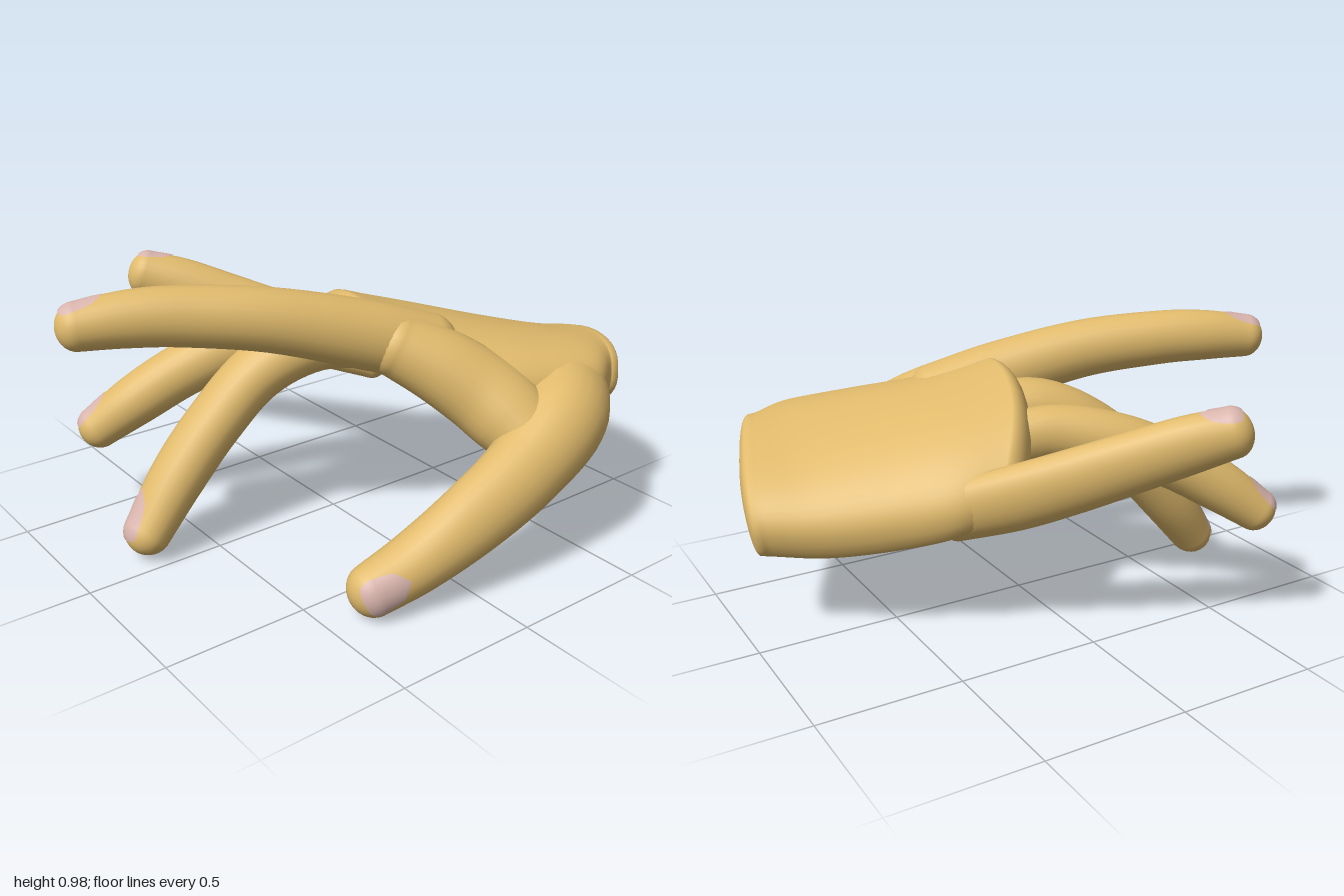
import * as THREE from 'three';
import { ParametricGeometry } from 'three/addons/geometries/ParametricGeometry.js';

const V = (p) => new THREE.Vector3(...p);
const curve = (points) => new THREE.CatmullRomCurve3(points.map(V), false, 'catmullrom', 0.5);
const clamp01 = (x) => Math.min(1, Math.max(0, x));

const skin = new THREE.MeshStandardMaterial({ color: 0xe0ba6c, side: THREE.DoubleSide });
const nailMaterial = new THREE.MeshStandardMaterial({ color: 0xd8b4ac, side: THREE.DoubleSide });

// Each finger: path from inside the palm to the tip, [side, nail-direction] radii,
// and the direction the nail faces.
const FINGERS = {
  indexFinger: {
    path: [[0.31, 0.71, -0.14], [0.235, 0.78, 0.07], [0.12, 0.86, 0.36], [0.0, 0.895, 0.62], [-0.07, 0.9, 0.78], [-0.125, 0.89, 0.93]],
    radii: [[0.12, 0.12, 0], [0.11, 0.118, 0], [0.1, 0.107, 0], [0.09, 0.1, 0], [0.085, 0.093, 0], [0.074, 0.078, 0]],
    up: [-0.1, 1, 0.05],
  },
  middleFinger: {
    path: [[0.09, 0.69, -0.1], [0.01, 0.7, 0.11], [-0.06, 0.61, 0.3], [-0.09, 0.45, 0.47], [-0.1, 0.28, 0.62], [-0.09, 0.115, 0.75]],
    radii: [[0.11, 0.11, 0], [0.11, 0.107, 0], [0.108, 0.1, 0], [0.107, 0.098, 0], [0.105, 0.095, 0], [0.088, 0.08, 0]],
    up: [-0.2, 0.6, 0.7],
  },
  ringFinger: {
    path: [[-0.09, 0.63, -0.16], [-0.17, 0.67, 0.05], [-0.27, 0.635, 0.25], [-0.35, 0.555, 0.43], [-0.42, 0.455, 0.59], [-0.485, 0.355, 0.72]],
    radii: [[0.09, 0.1, 0], [0.09, 0.1, 0], [0.093, 0.1, 0], [0.092, 0.098, 0], [0.09, 0.093, 0], [0.075, 0.077, 0]],
    up: [-0.4, 0.6, 0.6],
  },
  littleFinger: {
    path: [[-0.22, 0.48, -0.36], [-0.35, 0.54, -0.2], [-0.47, 0.61, -0.05], [-0.58, 0.68, 0.09], [-0.69, 0.75, 0.23], [-0.77, 0.795, 0.34]],
    radii: [[0.075, 0.11, 0], [0.077, 0.118, 0], [0.078, 0.115, 0], [0.077, 0.108, 0], [0.077, 0.1, 0], [0.072, 0.085, 0]],
    up: [-0.2, 1, -0.1],
  },
  thumb: {
    path: [[0.5, 0.53, -0.62], [0.66, 0.49, -0.44], [0.72, 0.385, -0.22], [0.72, 0.28, 0.0], [0.68, 0.172, 0.2], [0.65, 0.11, 0.36]],
    radii: [[0.17, 0.16, 0], [0.165, 0.16, 0], [0.14, 0.12, 0], [0.125, 0.1, 0], [0.105, 0.1, 0], [0.09, 0.085, 0]],
    up: [0.9, 0.2, 0.4],
  },
};

// Fold of flesh between the index knuckle and the thumb
const WEB = {
  path: [[0.3, 0.74, -0.02], [0.4, 0.67, -0.13], [0.49, 0.59, -0.22], [0.58, 0.52, -0.27], [0.67, 0.45, -0.3]],
  radii: [[0.11, 0.11, 0], [0.13, 0.12, 0], [0.14, 0.13, 0], [0.14, 0.13, 0], [0.12, 0.12, 0]],
  up: [0.4, 0.6, 0.6],
};

// Point on a finger: v 0..1 runs along the path, -1..0 and 1..2 over the rounded ends.
function fingerSurface({ path, radii, up }, lift = 0) {
  const spine = curve(path), size = curve(radii), upDir = V(up);
  return (angle, v, target) => {
    const k = clamp01(v);
    const phi = (v - k) * 1.57;
    const t = spine.getTangent(k);
    const n = upDir.clone().addScaledVector(t, -upDir.dot(t)).normalize();
    const s = n.clone().cross(t);
    const r = size.getPoint(k);
    const shrink = Math.cos(phi);
    target.copy(spine.getPoint(k))
      .addScaledVector(t, (r.x * 0.9 + lift) * Math.sin(phi))
      .addScaledVector(s, (r.x + lift) * shrink * Math.cos(angle))
      .addScaledVector(n, (r.y + lift) * shrink * Math.sin(angle));
  };
}

function makeBody(name, spec) {
  const surface = fingerSurface(spec);
  const body = new THREE.Mesh(new ParametricGeometry((u, w, target) => {
    let v = (w - 0.2) / 0.6;
    if (w < 0.2) v = w / 0.2 - 1;
    if (w > 0.8) v = 1 + (w - 0.8) / 0.2;
    surface(u * Math.PI * 2, v, target);
  }, 24, 50), skin);
  body.name = name;
  return body;
}

function makeFinger(name, spec) {
  const group = new THREE.Group();
  group.name = name;

  // oval nail lying just above the fingertip
  const raised = fingerSurface(spec, 0.004);
  const nail = new THREE.Mesh(new ParametricGeometry((u, w, target) => {
    const oval = Math.pow(Math.max(0.002, 1 - Math.pow(2 * w - 1, 4)), 0.5);
    raised(Math.PI / 2 + (u - 0.5) * 1.5 * oval, 0.88 + w * 0.6, target);
  }, 10, 14), nailMaterial);
  nail.name = name + 'Nail';

  group.add(makeBody(name + 'Body', spec), nail);
  return group;
}

// Palm: cross-sections from wrist to knuckles between the little-finger edge
// and the thumb edge, arched across the middle and bowed forward at the knuckles.
function makePalm() {
  const outer = curve([[0.04, 0.385, -0.92], [-0.07, 0.385, -0.75], [-0.2, 0.42, -0.56], [-0.31, 0.465, -0.39], [-0.35, 0.51, -0.25]]);
  const inner = curve([[0.645, 0.585, -0.72], [0.7, 0.59, -0.58], [0.65, 0.6, -0.37], [0.51, 0.65, -0.14], [0.34, 0.77, 0.03]]);
  // half thickness, arch, bow
  const shape = curve([[0.14, 0.02, 0], [0.152, 0.035, 0], [0.155, 0.06, 0.01], [0.145, 0.08, 0.04], [0.11, 0.08, 0.09]]);
  const axis = V([-0.42, 0.08, 0.9]).normalize();
  const soft = (x, p) => Math.sign(x) * Math.pow(Math.abs(x), p);

  const mesh = new THREE.Mesh(new ParametricGeometry((u, w, target) => {
    const k = clamp01((w - 0.15) / 0.7);
    const back = clamp01((0.15 - w) / 0.15);
    const front = clamp01((w - 0.85) / 0.15);
    const L = outer.getPoint(k), R = inner.getPoint(k), f = shape.getPoint(k);
    const side = R.clone().sub(L).multiplyScalar(0.5);
    const n = axis.clone().cross(side).normalize();
    // blunt cap at the wrist, rounder one at the knuckles
    const cap = 1 - 0.999 * back * back;
    const width = cap * (1 - 0.25 * front * front);
    const thick = cap * Math.cos(front * 1.57);
    const a = u * Math.PI * 2;
    const x = soft(Math.cos(a), 0.75) * width;
    const y = soft(Math.sin(a), 0.75) * thick;
    const crown = 1 - x * x;
    target.copy(L).add(R).multiplyScalar(0.5)
      .addScaledVector(side, x)
      .addScaledVector(n, y * f.x + crown * f.y)
      .addScaledVector(axis, crown * f.z - 0.07 * Math.sqrt(back) + 0.06 * Math.sin(front * 1.57));
  }, 48, 60), skin);
  mesh.name = 'palm';
  return mesh;
}

export function createModel() {
  const hand = new THREE.Group();
  hand.name = 'hand';
  hand.add(makePalm(), makeBody('thumbWeb', WEB));
  for (const [name, spec] of Object.entries(FINGERS)) hand.add(makeFinger(name, spec));

  // stand on the ground, centred
  const box = new THREE.Box3().setFromObject(hand);
  const centre = box.getCenter(new THREE.Vector3());
  hand.position.set(-centre.x, -box.min.y, -centre.z);
  const model = new THREE.Group();
  model.add(hand);
  return model;
}
